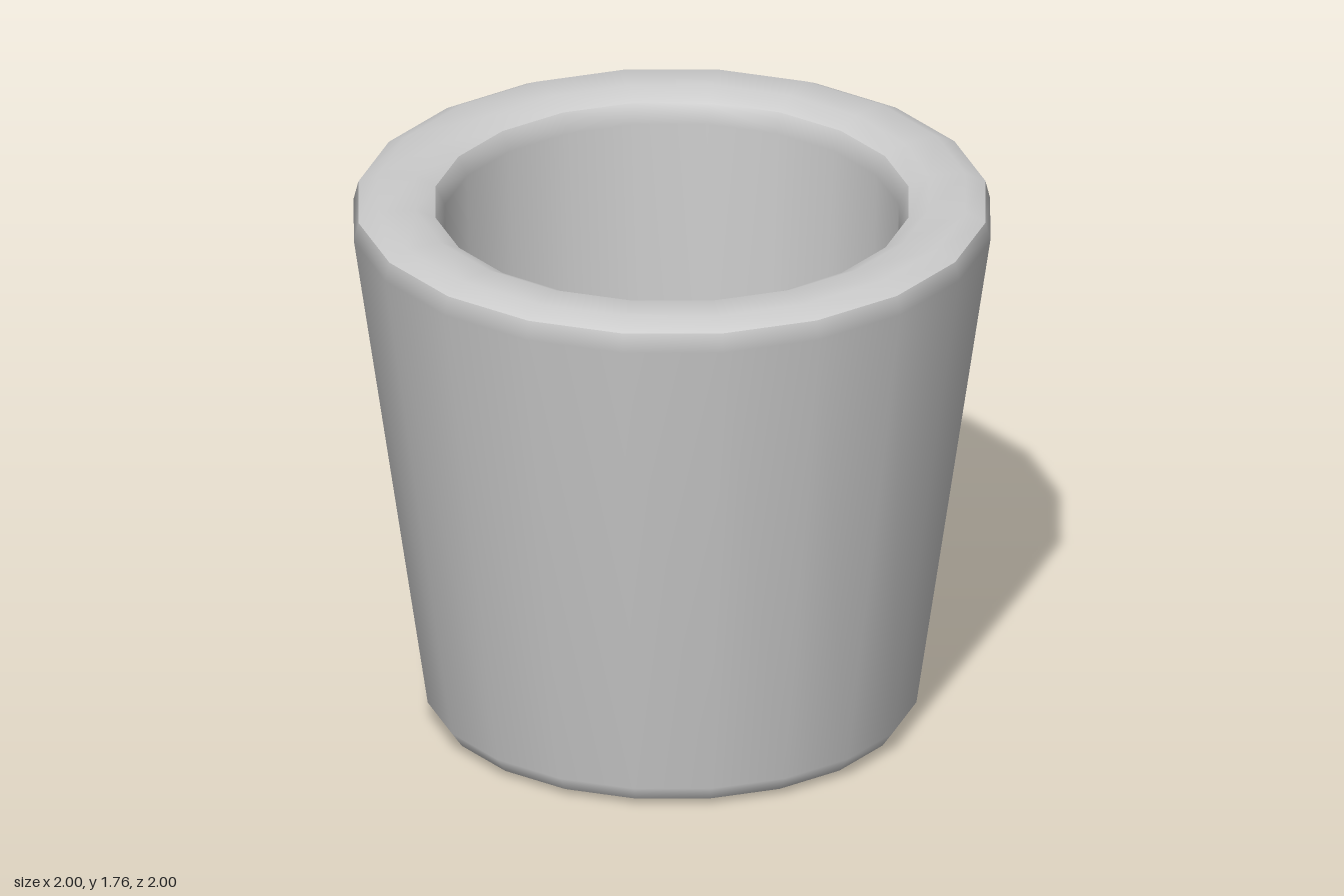
import * as THREE from 'three';

const SIDES = 20;
const TURN = -Math.PI / 40; // quarter-facet twist of the 20-sided ring

export function createModel() {
  const group = new THREE.Group();
  group.name = 'pot';
  const material = new THREE.MeshStandardMaterial({ color: 0xcccccc });

  // Each section is smooth inside; the seams between sections stay sharp.
  const sections = {
    underside: [[0, 0], [0.69, 0], [0.735, 0.02]],
    outerWall: [[0.735, 0.02], [0.77, 0.07], [1.003, 1.67], [0.988, 1.73]],
    rim: [[0.988, 1.73], [0.925, 1.762], [0.81, 1.762], [0.745, 1.73]],
    innerWall: [[0.745, 1.73], [0.715, 1.67], [0.67, 0.25]],
    innerFloor: [[0.67, 0.25], [0, 0.25]],
  };

  for (const [name, profile] of Object.entries(sections)) {
    const points = profile.map(([r, y]) => new THREE.Vector2(r, y));
    const mesh = new THREE.Mesh(new THREE.LatheGeometry(points, SIDES, TURN), material);
    mesh.name = name;
    group.add(mesh);
  }
  return group;
}
